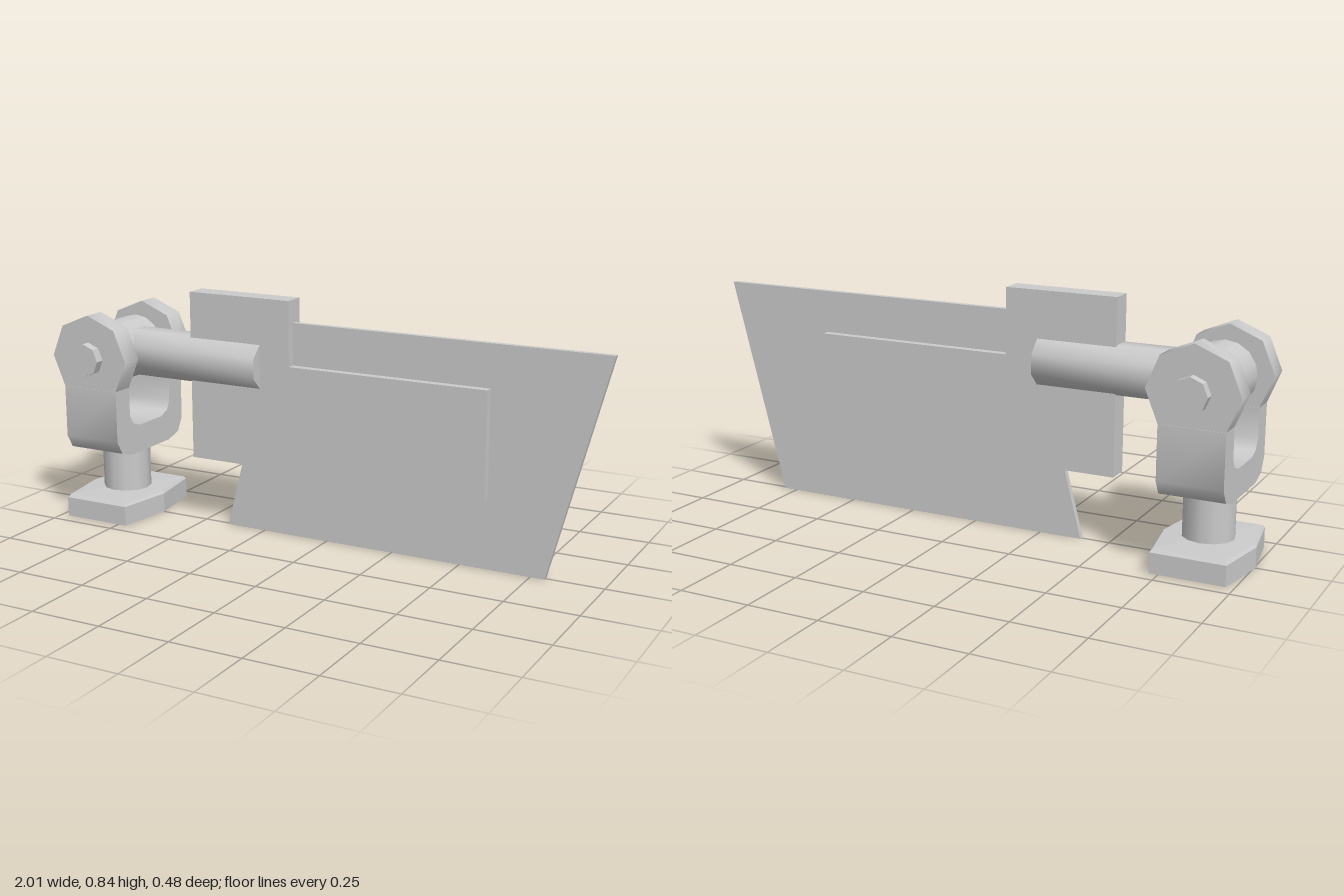
import * as THREE from 'three';
import { toCreasedNormals } from 'three/addons/utils/BufferGeometryUtils.js';

const PIVOT_X = -0.845;
const PIVOT_Y = 0.603;

function part(name, geometry, flat = false) {
  const material = new THREE.MeshStandardMaterial({ color: 0xcccccc, flatShading: flat });
  const mesh = new THREE.Mesh(geometry, material);
  mesh.name = name;
  return mesh;
}

// Extrude an outline by depth, centred on z = 0
function slab(points, depth) {
  const shape = new THREE.Shape(points.map(([x, y]) => new THREE.Vector2(x, y)));
  return new THREE.ExtrudeGeometry(shape, { depth, bevelEnabled: false }).translate(0, 0, -depth / 2);
}

// Skin a stack of scaled copies of an outline; rings are [scale, y]
function loft(outline, rings) {
  const pos = [];
  const n = outline.length;
  const at = ([s, y], k) => [outline[k % n][0] * s, y, outline[k % n][1] * s];
  for (let i = 0; i < rings.length - 1; i++) {
    const [lo, hi] = [rings[i], rings[i + 1]];
    for (let k = 0; k < n; k++) {
      const [a, b, c, d] = [at(lo, k), at(lo, k + 1), at(hi, k + 1), at(hi, k)];
      if (lo[0] > 0) pos.push(...a, ...d, ...b);
      if (hi[0] > 0) pos.push(...b, ...d, ...c);
    }
  }
  const g = new THREE.BufferGeometry();
  g.setAttribute('position', new THREE.Float32BufferAttribute(pos, 3));
  g.computeVertexNormals();
  return g;
}

export function createModel() {
  const model = new THREE.Group();
  model.name = 'swivelBladeHolder';

  // Blade: thin slanted sheet
  model.add(part('blade', slab([[-0.4, 0], [0.8, 0], [1, 0.763], [-0.2, 0.763]], 0.02)));

  // Holder: stepped thicker plate around the blade
  model.add(part('holderPlate', slab([
    [-0.525, 0.243], [0.595, 0.243], [0.595, 0.615],
    [-0.13, 0.615], [-0.13, 0.843], [-0.525, 0.843],
  ], 0.078)));

  // Arm: eight-sided rod from the hub into the holder
  const armGeo = new THREE.CylinderGeometry(0.089, 0.089, 0.545, 8)
    .rotateY(Math.PI / 8).rotateZ(Math.PI / 2);
  const arm = part('arm', toCreasedNormals(armGeo, 0.9));
  arm.position.set(-0.5175, PIVOT_Y, 0);
  model.add(arm);

  // Hub barrel and pivot pin, both along z
  const hub = part('hub', new THREE.CylinderGeometry(0.11, 0.11, 0.18, 16).rotateX(Math.PI / 2));
  const pin = part('pivotPin', new THREE.CylinderGeometry(0.059, 0.059, 0.48, 8).rotateX(Math.PI / 2), true);
  for (const m of [hub, pin]) {
    m.position.set(PIVOT_X, PIVOT_Y, 0);
    model.add(m);
  }

  // Fork: U-shaped yoke with an octagonal eye on each arm
  const fork = new THREE.Group();
  fork.name = 'fork';
  const half = [
    [0.12, 0.243], [0.18, 0.262], [0.207, 0.31], [0.207, 0.493],
    [0.126, 0.493], [0.126, 0.39], [0.108, 0.358], [0.068, 0.343],
  ];
  const mirrored = half.map(([z, y]) => [-z, y]).reverse();
  const yoke = slab([...half, ...mirrored], 0.22).rotateY(Math.PI / 2);
  fork.add(part('yoke', toCreasedNormals(yoke, 0.9)));

  const eye = [];
  for (let i = -1; i <= 5; i++) {
    const a = (i * Math.PI) / 4;
    eye.push([0.155 * Math.cos(a), PIVOT_Y + 0.155 * Math.sin(a)]);
  }
  for (const side of [1, -1]) {
    const mesh = part(side > 0 ? 'frontEye' : 'backEye', toCreasedNormals(slab(eye, 0.081), 0.9));
    mesh.position.z = side * 0.1665;
    fork.add(mesh);
  }
  fork.position.x = PIVOT_X;
  model.add(fork);

  // Stem under the fork
  const stem = part('stem', new THREE.CylinderGeometry(0.087, 0.087, 0.24, 12));
  stem.position.set(PIVOT_X, 0.125, 0);
  model.add(stem);

  // Foot: hollow six-sided base with a chamfered top
  const hexagon = [[0.16, 0], [0.127, 0.2], [-0.127, 0.2], [-0.16, 0], [-0.127, -0.2], [0.127, -0.2]];
  const foot = part('foot', loft(hexagon, [
    [0, 0.055], [0.86, 0.055], [0.86, 0], [1, 0], [1, 0.07], [0.95, 0.08], [0.4, 0.085], [0, 0.085],
  ]), true);
  foot.position.x = PIVOT_X;
  model.add(foot);

  return model;
}
